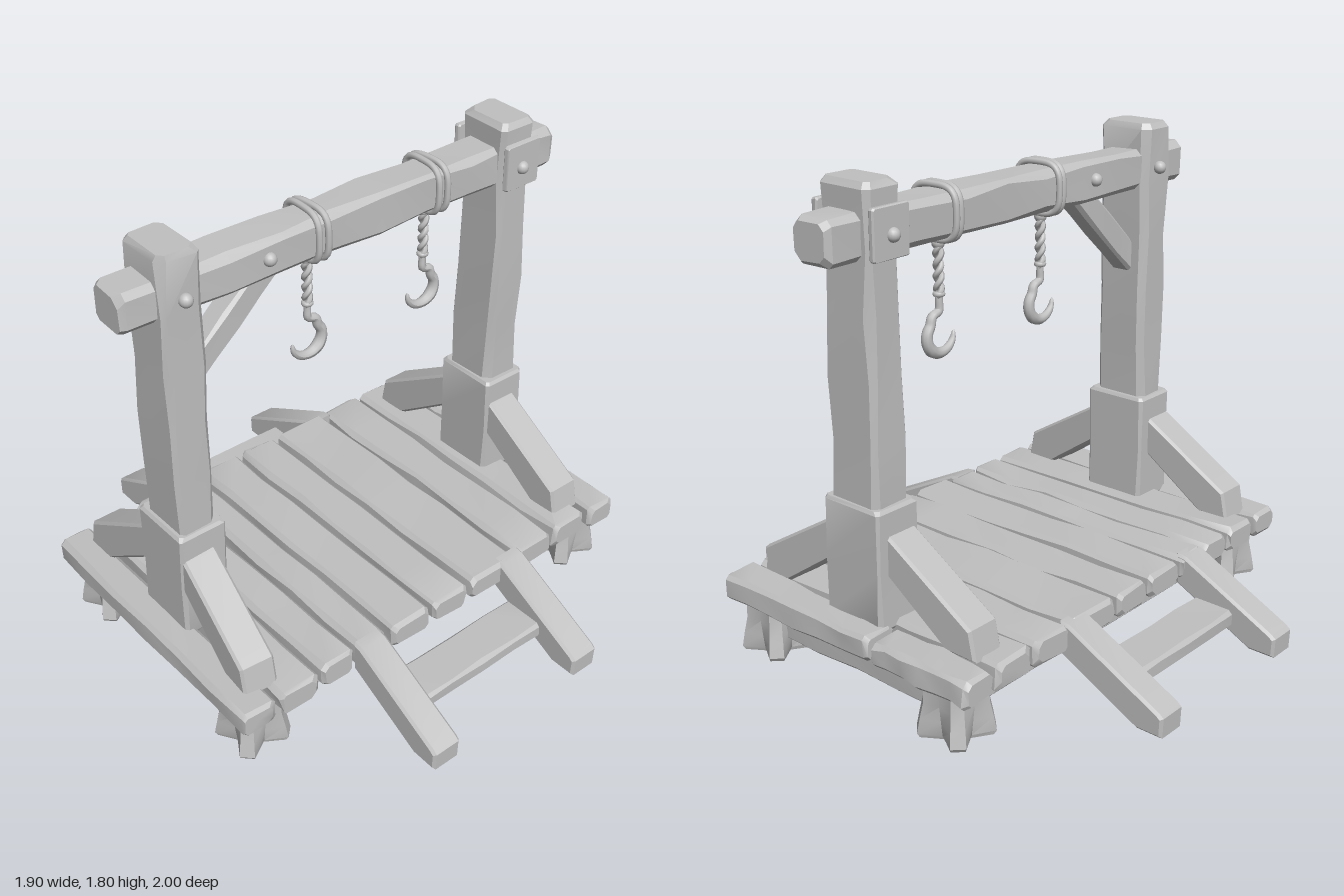
import * as THREE from 'three';
import { toCreasedNormals } from 'three/addons/utils/BufferGeometryUtils.js';

export function createModel() {
  const model = new THREE.Group();
  model.name = 'hookRack';
  const grey = new THREE.MeshStandardMaterial({ color: 0xc0c0c0 });
  grey.name = 'weathered grey';

  let seed = 7;
  const rnd = () => (seed = (seed * 16807) % 2147483647) / 2147483647;

  function add(name, geo, pos = [0, 0, 0], rot = [0, 0, 0], parent = model) {
    const mesh = new THREE.Mesh(geo, grey);
    mesh.name = name;
    mesh.position.set(...pos);
    mesh.rotation.set(...rot);
    parent.add(mesh);
    return mesh;
  }

  // Closed solid from rings of [x, y, z] points running towards +z
  function loft(rings, crease = 0.5) {
    const n = rings[0].length, verts = rings.flat(2), index = [];
    for (let i = 0; i < rings.length - 1; i++)
      for (let j = 0; j < n; j++) {
        const k = (j + 1) % n, a = i * n + j, b = i * n + k;
        index.push(a, b, b + n, a, b + n, a + n);
      }
    [0, rings.length - 1].forEach((r) => {
      const mid = [0, 1, 2].map((c) => rings[r].reduce((s, p) => s + p[c], 0) / n);
      const m = verts.length / 3;
      verts.push(...mid);
      for (let j = 0; j < n; j++) {
        const a = r * n + j, b = r * n + (j + 1) % n;
        if (r) index.push(m, a, b); else index.push(m, b, a);
      }
    });
    const geo = new THREE.BufferGeometry();
    geo.setAttribute('position', new THREE.Float32BufferAttribute(verts, 3));
    geo.setIndex(index);
    return toCreasedNormals(geo, crease);
  }

  // Worn timber along local z: chamfered section, uneven edges
  function timber(w, h, len, c = 0.015, wear = 0.008, steps = 4) {
    const ts = [-len / 2, -len / 2 + c];
    for (let i = 1; i < steps; i++) ts.push(-len / 2 + (len * i) / steps);
    ts.push(len / 2 - c, len / 2);
    return loft(ts.map((z, i) => {
      const end = i === 0 || i === ts.length - 1;
      const x = w / 2 - (end ? c * 0.7 : 0), y = h / 2 - (end ? c * 0.7 : 0);
      const ring = [];
      for (const [sx, sy] of [[1, -1], [1, 1], [-1, 1], [-1, -1]]) {
        const dx = rnd() * wear, dy = rnd() * wear, k = c * (0.6 + rnd() * 0.8);
        const p = [sx * (x - dx), sy * (y - dy - k), z];
        const q = [sx * (x - dx - k), sy * (y - dy), z];
        if (sx * sy < 0) ring.push(q, p); else ring.push(p, q);
      }
      return ring;
    }));
  }

  // Side profile in [z, y], extruded across x
  function profile(points, width) {
    const b = 0.01;
    const geo = new THREE.ExtrudeGeometry(new THREE.Shape(points.map((p) => new THREE.Vector2(...p))), {
      depth: width - 2 * b, bevelEnabled: true, bevelSize: b, bevelThickness: b, bevelOffset: -b, bevelSegments: 1,
    });
    geo.translate(0, 0, -width / 2 + b);
    geo.rotateY(-Math.PI / 2);
    return toCreasedNormals(geo, 0.5);
  }

  const UP = [-Math.PI / 2, 0, 0], ACROSS = [0, Math.PI / 2, 0];

  // Deck planks: [x min, x max, z min, z max]
  [
    [-0.94, -0.79, -0.6, 0.6], [-0.775, -0.6, -0.6, 0.6], [-0.588, -0.43, -0.6, 0.59], [-0.42, -0.28, -0.6, 0.59],
    [-0.27, -0.08, -0.6, 0.6], [-0.07, 0.11, -0.6, 0.6], [0.12, 0.37, -0.6, 0.6], [0.38, 0.57, -0.6, 0.59],
    [0.58, 0.76, -0.6, 0.59], [0.77, 0.92, -0.6, -0.165], [0.77, 0.92, -0.15, 0.6],
  ].forEach(([x0, x1, z0, z1]) => add('deckPlank', timber(x1 - x0, 0.11, z1 - z0, 0.016, 0.012, 6),
    [(x0 + x1) / 2, 0.243, (z0 + z1) / 2]));

  // Flared feet with notched sides
  function footRing(corner, notch, z) {
    return [...Array(8)].flatMap((_, i) => {
      const a = (i * Math.PI) / 4;
      if (i % 2 === 0) return [[Math.cos(a) * notch, Math.sin(a) * notch, z]];
      return [-0.2, 0.2].map((d) => [Math.cos(a + d) * corner, Math.sin(a + d) * corner, z]);
    });
  }
  for (const sx of [-1, 1]) for (const sz of [-1, 1])
    add('foot', loft([footRing(0.125, 0.06, 0), footRing(0.135, 0.068, 0.015), footRing(0.125, 0.075, 0.07),
      footRing(0.112, 0.082, 0.13), footRing(0.11, 0.085, 0.2)]), [sx * 0.793, 0.004, sz * 0.447], UP);

  // Rails between the feet
  for (const s of [-1, 1]) {
    add('longRail', timber(0.08, 0.1, 1.46), [0, 0.132, s * 0.45], ACROSS);
    add('sideRail', timber(0.08, 0.11, 0.8), [s * 0.795, 0.125, 0]);
  }

  // Ramps at front and back
  for (const s of [-1, 1]) {
    const line = [[0.56, 0.295], [0.6, 0.29], [0.98, 0.1], [0.998, 0.085], [0.995, 0.01], [0.89, 0.01], [0.56, 0.175]];
    for (const x of [-0.36, 0.338])
      add('rampStringer', profile(line.map(([z, y]) => [s * z, y]), 0.122), [x, 0, 0]);
    add('rampStep', timber(0.18, 0.07, 0.64, 0.012, 0.004), [-0.01, 0.11, s * 0.73], ACROSS);
  }

  // Posts with base blocks and struts
  for (const x of [-0.74, 0.73]) {
    add('post', timber(0.17, 0.235, 1.54, 0.022, 0.012, 7), [x, 1.035, 0], UP);
    add('postBase', timber(0.196, 0.268, 0.45, 0.012, 0.003, 2), [x, 0.487, 0], UP);
    for (const s of [-1, 1]) {
      const line = [[0.1, 0.63], [0.14, 0.61], [0.5, 0.39], [0.522, 0.28], [0.39, 0.28], [0.13, 0.46], [0.1, 0.46]];
      const front = x < 0 && s > 0;
      const strut = add('strut', profile(line.map(([z, y]) => [s * z, y]), 0.135),
        [x < 0 ? (front ? -0.75 : -0.765) : 0.715, 0, 0]);
      if (front) strut.rotation.y = -0.09;
    }
  }

  // Cross beam and its corner brace
  add('crossBeam', timber(0.175, 0.165, 1.9, 0.022, 0.01, 9), [0, 1.63, 0], ACROSS);
  add('cornerBrace', timber(0.1, 0.105, 0.52, 0.012, 0.005), [-0.51, 1.432, 0], [0, Math.PI / 2, 0.74, 'ZYX']);

  // Plates and round-headed bolts
  const bolt = new THREE.SphereGeometry(0.025, 16, 10);
  for (const s of [-1, 1]) {
    add('postPlate', timber(0.165, 0.18, 0.025, 0.006, 0.003, 1), [0.73, 1.643, s * 0.128]);
    add('plateBolt', bolt, [0.725, 1.635, s * 0.14]);
    add('postBolt', bolt, [-0.735, 1.635, s * 0.12]);
    add('braceBolt', bolt, [-0.38, 1.635, s * 0.084]);
  }

  // Tube whose radius follows a rule along its length
  function taperedTube(curve, radius, steps, sides) {
    const geo = new THREE.TubeGeometry(curve, steps, 1, sides, false);
    const pos = geo.attributes.position, v = new THREE.Vector3();
    for (let i = 0; i <= steps; i++) {
      const c = curve.getPointAt(i / steps);
      for (let j = 0; j <= sides; j++) {
        const k = i * (sides + 1) + j;
        v.fromBufferAttribute(pos, k).sub(c).multiplyScalar(radius(i / steps)).add(c);
        pos.setXYZ(k, v.x, v.y, v.z);
      }
    }
    geo.computeVertexNormals();
    return geo;
  }

  // Rope loop around the beam: rounded square path
  const loop = new THREE.CatmullRomCurve3([...Array(16)].map((_, i) => {
    const a = (i * Math.PI) / 8, p = (t) => Math.sign(t) * Math.pow(Math.abs(t), 0.6);
    return new THREE.Vector3(0, p(Math.cos(a)) * 0.094, p(Math.sin(a)) * 0.097);
  }), true);
  const loopGeo = new THREE.TubeGeometry(loop, 48, 0.012, 8, true);

  // Hook path: shank, then round the bowl to the tip
  const path = [[0.0, 1.36], [0.0, 1.32], [0.002, 1.285], [0.035, 1.27]];
  for (let i = 0; i <= 8; i++) {
    const a = 0.75 - (i / 8) * 3.95;
    path.push([Math.cos(a) * 0.067 - 0.004, 1.197 + Math.sin(a) * 0.064]);
  }
  const hookCurve = new THREE.CatmullRomCurve3(path.map(([x, y]) => new THREE.Vector3(x, y, 0)));
  const hookGeo = taperedTube(hookCurve,
    (t) => (t < 0.6 ? 0.012 + 0.011 * (t / 0.6) : 0.002 + 0.021 * Math.sqrt((1 - t) / 0.4)), 48, 10);

  // Twisted strand hanging from the loop
  const strand = (phase) => new THREE.TubeGeometry(new THREE.CatmullRomCurve3([...Array(25)].map((_, i) => {
    const a = phase + i * 0.65;
    return new THREE.Vector3(Math.cos(a) * 0.01, 1.54 - i * 0.0085, Math.sin(a) * 0.01);
  })), 48, 0.011, 6);

  for (const x of [-0.163, 0.377]) {
    const hanger = new THREE.Group();
    hanger.name = 'hangingHook';
    hanger.position.x = x;
    for (const s of [-1, 1]) add('ropeLoop', loopGeo, [s * 0.015, 1.633, 0], [0, s * 0.05, 0], hanger);
    for (const phase of [0, Math.PI]) add('ropeStrand', strand(phase), [0, 0, 0], [0, 0, 0], hanger);
    add('ropeKnot', new THREE.SphereGeometry(0.024, 12, 8), [0, 1.525, 0], [0, 0, 0], hanger);
    add('hookCollar', new THREE.TorusGeometry(0.013, 0.01, 8, 14), [0, 1.345, 0], [Math.PI / 2, 0, 0], hanger);
    add('hook', hookGeo, [0, 0, 0], [0, 0, 0], hanger);
    model.add(hanger);
  }
  return model;
}
